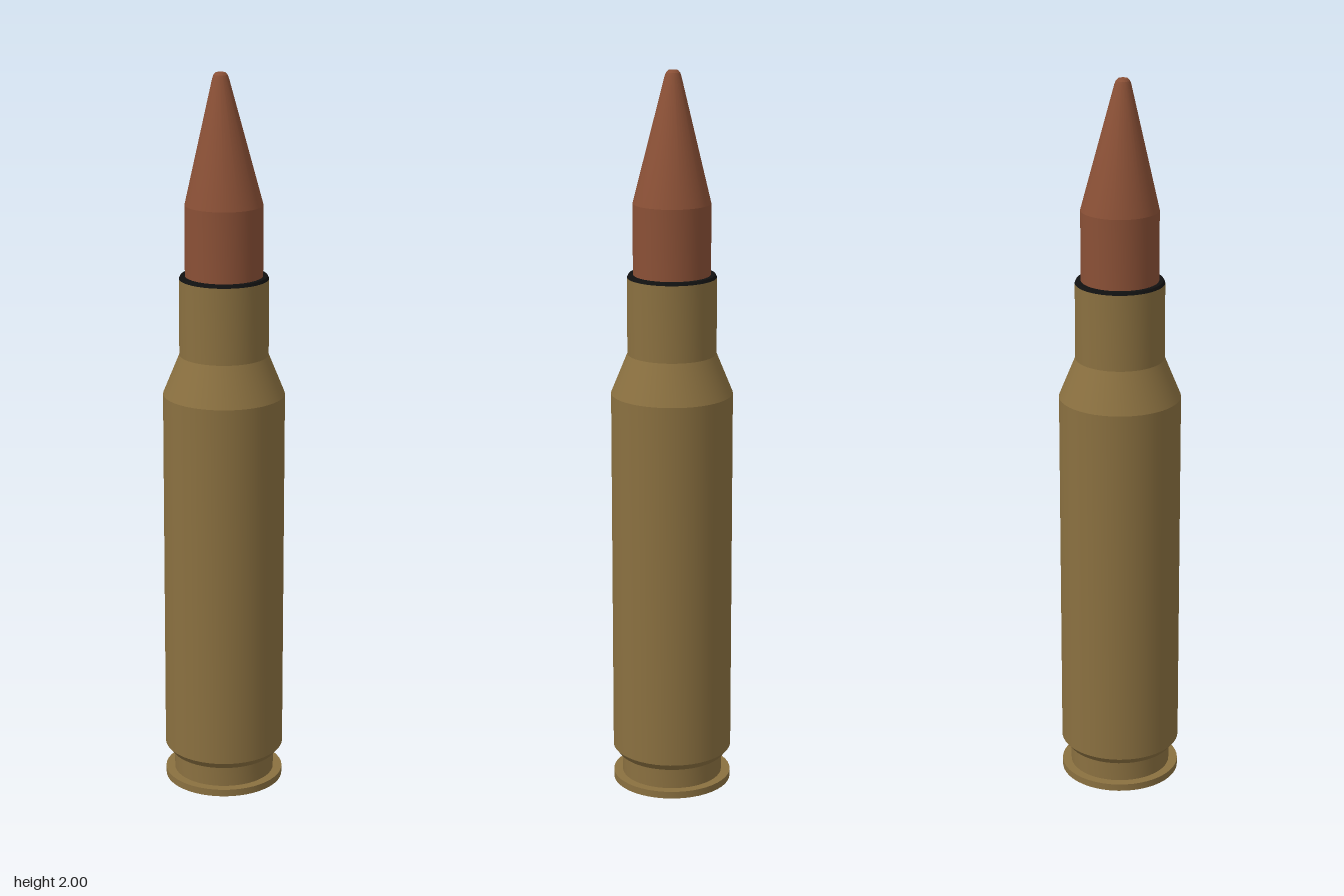
import * as THREE from 'three';
import { toCreasedNormals } from 'three/addons/utils/BufferGeometryUtils.js';

const brass = new THREE.MeshStandardMaterial({ color: 0x8a7040 });
const copper = new THREE.MeshStandardMaterial({ color: 0x8a5036 });
const black = new THREE.MeshStandardMaterial({ color: 0x111111 });

// Turned part from [radius, height] pairs, listed bottom to top; bend may shift vertices
function turned(name, profile, material, bend) {
  const lathe = new THREE.LatheGeometry(profile.map(([r, y]) => new THREE.Vector2(r, y)), 48);
  if (bend) bend(lathe.attributes.position);
  const mesh = new THREE.Mesh(toCreasedNormals(lathe, 0.2), material);
  mesh.name = name;
  return mesh;
}

export function createModel() {
  const group = new THREE.Group();
  group.name = 'cartridge';

  // Base disc and the recessed groove above it
  group.add(turned('rim', [[0, 0], [0.165, 0], [0.165, 0.02], [0.14, 0.02]], brass));
  group.add(turned('extractorGroove', [[0.14, 0.02], [0.14, 0.08]], brass));

  // Case wall with bevelled foot, shoulder and neck
  group.add(turned('case', [
    [0.14, 0.08], [0.15, 0.08], [0.166, 0.1], [0.166, 1.13], [0.121, 1.24], [0.121, 1.45],
  ], brass));

  // Dark sealing ring at the mouth
  group.add(turned('mouthRing', [[0.121, 1.45], [0.117, 1.458], [0.104, 1.458]], black));

  // Bullet, its tip leaning slightly off axis
  group.add(turned('bullet', [
    [0.105, 1.44], [0.105, 1.65], [0.022, 1.985], [0.0185, 1.994], [0.013, 2], [0, 2],
  ], copper, (p) => {
    for (let i = 0; i < p.count; i++) {
      const t = Math.max(0, (p.getY(i) - 1.65) / 0.35);
      p.setX(i, p.getX(i) - 0.01 * t);
    }
  }));

  return group;
}
